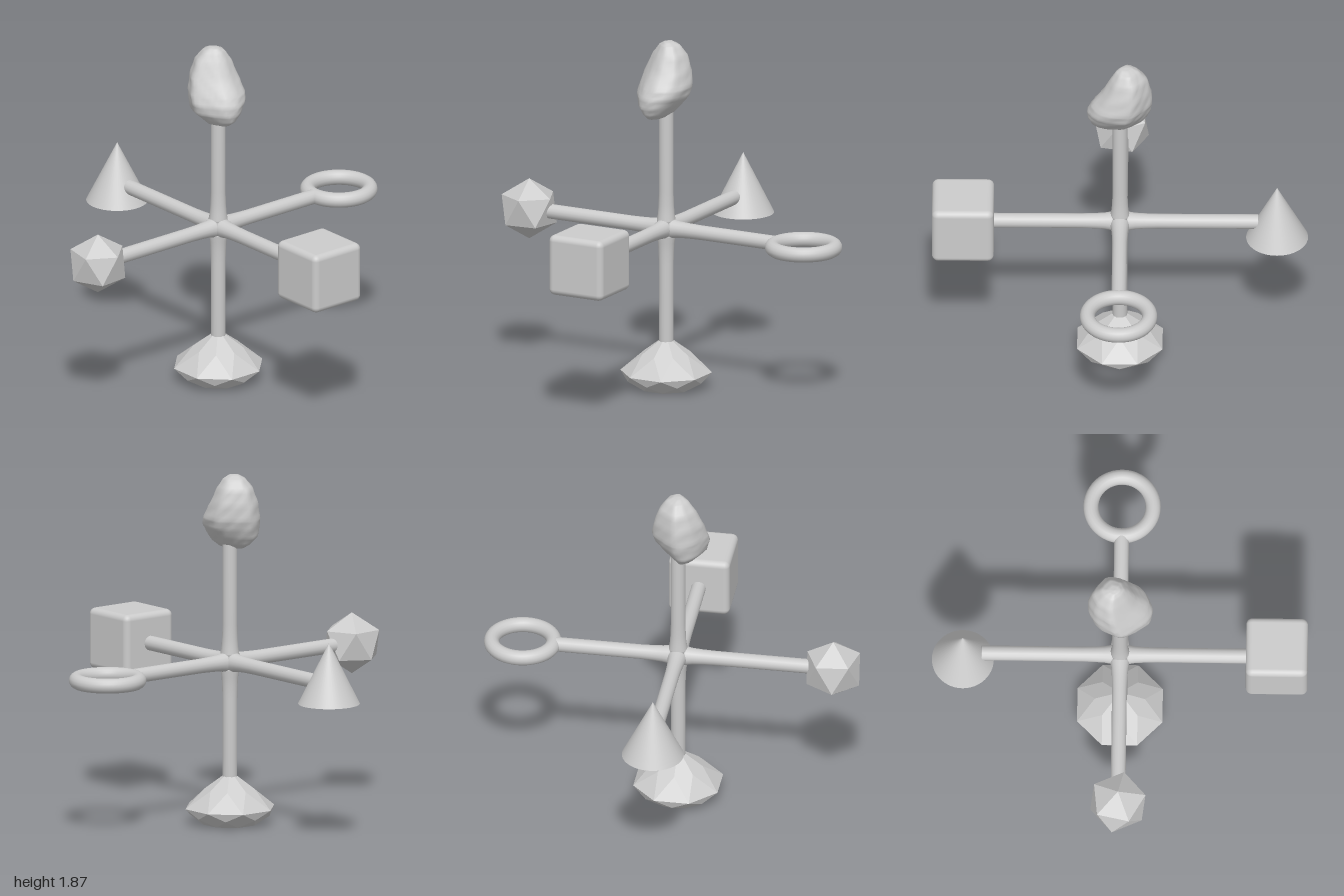
import * as THREE from 'three';
import { RoundedBoxGeometry } from 'three/addons/geometries/RoundedBoxGeometry.js';
import { ConvexGeometry } from 'three/addons/geometries/ConvexGeometry.js';

const HUB = new THREE.Vector3(0, 0.865, 0.032);

// Rod leaving the hub, flared slightly where the six rods blend together
function rodGeometry(length) {
  const profile = [[0, 0], [0.05, 0.03], [0.05, 0.045], [0.044, 0.08], [0.041, 0.13], [0.039, 0.2],
    [0.039, length - 0.004], [0.035, length], [0, length]];
  return new THREE.LatheGeometry(profile.map(([r, y]) => new THREE.Vector2(r, y)), 16);
}

// Cut gem, table down: rings alternate by half a step
function gemGeometry() {
  const sides = 8, half = Math.PI / sides, r = 0.243;
  const crown = 0.087, pavilion = 0.196;
  const rings = [
    [0.6 * r, 0, 1],
    [0.8 * r / Math.cos(half), crown / 2, 0],
    [r, crown, 1],
    [0.5 * r / Math.cos(half), crown + pavilion / 2, 0],
  ];
  const points = [new THREE.Vector3(0, crown + pavilion, 0)];
  for (const [radius, y, shift] of rings) {
    for (let i = 0; i < sides; i++) {
      const a = (2 * i + shift) * half;
      points.push(new THREE.Vector3(radius * Math.cos(a), y, radius * Math.sin(a)));
    }
  }
  return new ConvexGeometry(points);
}

// Twenty-sided solid standing on a vertex
function icosahedronGeometry(radius) {
  const points = [new THREE.Vector3(0, radius, 0), new THREE.Vector3(0, -radius, 0)];
  const ring = radius * 2 / Math.sqrt(5), h = radius / Math.sqrt(5);
  for (let i = 0; i < 10; i++) {
    const a = THREE.MathUtils.degToRad(-12 + 36 * i);
    points.push(new THREE.Vector3(ring * Math.sin(a), i % 2 ? h : -h, ring * Math.cos(a)));
  }
  return new ConvexGeometry(points);
}

// Boulder: one rough outline fitted to the extents of each level, with small bumps
function rockGeometry() {
  const outline = new THREE.CatmullRomCurve3(
    [[-1, -0.12], [-0.26, -1], [0.67, -0.8], [1, -0.19], [0.82, 0.36], [0, 1], [-0.76, 0.56]]
      .map(([x, z]) => new THREE.Vector3(x, 0, z)), true, 'catmullrom', 0.3);
  // y, min x, max x, min z, max z
  const levels = [
    [1.465, 0.03, 0.03, 0.075, 0.075],
    [1.475, -0.06, 0.12, 0.02, 0.12],
    [1.5, -0.11, 0.155, -0.01, 0.145],
    [1.54, -0.145, 0.172, -0.045, 0.185],
    [1.59, -0.16, 0.173, -0.085, 0.2],
    [1.64, -0.17, 0.15, -0.1, 0.193],
    [1.72, -0.163, 0.092, -0.087, 0.172],
    [1.8, -0.142, 0.052, -0.06, 0.135],
    [1.85, -0.1, 0.022, -0.025, 0.095],
    [1.868, -0.065, 0, 0.01, 0.065],
    [1.872, -0.03, -0.03, 0.04, 0.04],
  ];
  const around = 40, perLevel = 4, rows = (levels.length - 1) * perLevel;
  const ring = outline.getSpacedPoints(around);
  const position = [], index = [];
  for (let i = 0; i <= rows; i++) {
    const k = Math.min(Math.floor(i / perLevel), levels.length - 2), f = i / perLevel - k;
    const [y, x0, x1, z0, z1] = levels[k].map((v, n) => THREE.MathUtils.lerp(v, levels[k + 1][n], f));
    for (let j = 0; j < around; j++) {
      const p = ring[j];
      const bump = 1 + 0.02 * Math.sin(p.x * 7 + y * 40) * Math.sin(p.z * 8 - y * 31)
        + 0.01 * Math.sin(p.x * 17 - y * 75) * Math.cos(p.z * 15 + y * 60);
      position.push((x0 + x1) / 2 + p.x * bump * (x1 - x0) / 2, y,
        (z0 + z1) / 2 + p.z * bump * (z1 - z0) / 2);
      if (i < rows) {
        const a = i * around + j, b = i * around + (j + 1) % around;
        index.push(a, a + around, b, b, a + around, b + around);
      }
    }
  }
  const geometry = new THREE.BufferGeometry();
  geometry.setAttribute('position', new THREE.Float32BufferAttribute(position, 3));
  geometry.setIndex(index);
  geometry.computeVertexNormals();
  return geometry;
}

export function createModel() {
  const model = new THREE.Group();
  model.name = 'shapeCross';
  const smooth = new THREE.MeshStandardMaterial({ color: 0xcccccc });
  const faceted = new THREE.MeshStandardMaterial({ color: 0xcccccc, flatShading: true });

  const add = (name, geometry, x, y, z, material = smooth) => {
    const mesh = new THREE.Mesh(geometry, material);
    mesh.name = name;
    mesh.position.set(x, y, z);
    model.add(mesh);
    return mesh;
  };

  // Six rods meeting at the hub
  const up = new THREE.Vector3(0, 1, 0);
  const rods = [
    ['leftRod', 1, 0, 0, 0.7], ['rightRod', -1, 0, 0, 0.73],
    ['topRod', 0, 1, 0, 0.68], ['bottomRod', 0, -1, 0, 0.64],
    ['frontRod', 0, 0, 1, 0.72], ['backRod', 0, 0, -1, 0.655],
  ];
  for (const [name, x, y, z, length] of rods) {
    const rod = add(name, rodGeometry(length), HUB.x, HUB.y, HUB.z);
    rod.quaternion.setFromUnitVectors(up, new THREE.Vector3(x, y, z));
  }

  // A different solid on the end of each rod
  add('roundedCube', new RoundedBoxGeometry(0.325, 0.325, 0.325, 3, 0.033), 0.825, HUB.y, HUB.z);
  add('cone', new THREE.ConeGeometry(0.163, 0.325, 48), -0.826, 0.926, HUB.z);
  add('icosahedron', icosahedronGeometry(0.163), 0, HUB.y, 0.858, faceted);
  add('ring', new THREE.TorusGeometry(0.164, 0.04, 16, 48), 0, HUB.y, -0.796).rotation.x = Math.PI / 2;
  add('gem', gemGeometry(), 0, 0, HUB.z, faceted);
  add('rock', rockGeometry(), 0, 0, 0);

  return model;
}
